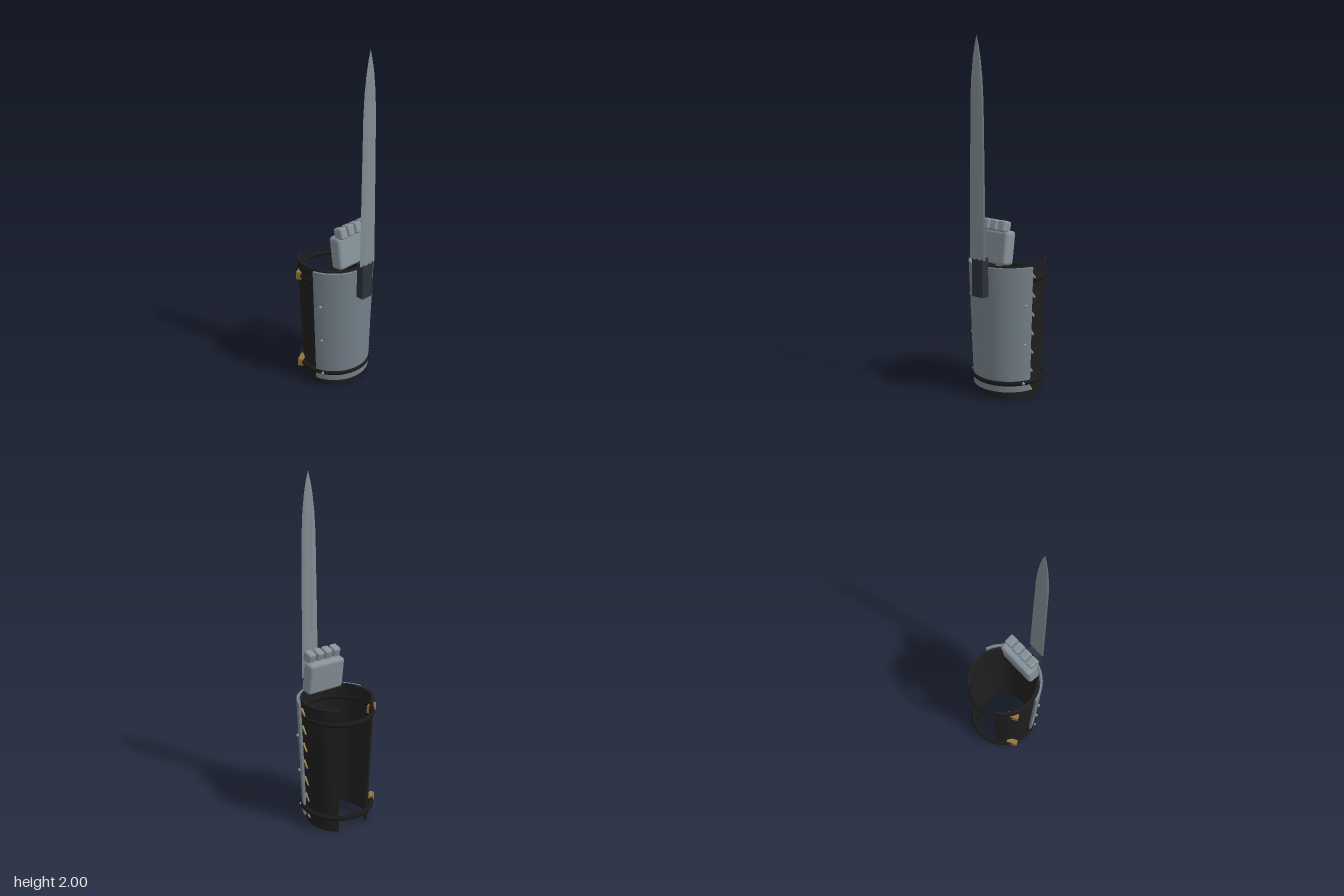
import * as THREE from 'three';
import { toCreasedNormals, mergeGeometries } from 'three/addons/utils/BufferGeometryUtils.js';
import { RoundedBoxGeometry } from 'three/addons/geometries/RoundedBoxGeometry.js';

const mat = (name, color, extra = {}) => {
  const m = new THREE.MeshStandardMaterial({ color, ...extra });
  m.name = name;
  return m;
};

const AXIS_Z = -0.03; // centre line of the forearm tube

// Thick curved wall: outer radius r0 at y0 to r1 at y1, spanning phi0..phi1 from +z
function arcWall(r0, r1, y0, y1, thick, phi0, phi1, segments) {
  const pts = [[r0, y0], [r1, y1], [r1 - thick, y1], [r0 - thick, y0], [r0, y0]]
    .map(([x, y]) => new THREE.Vector2(x, y));
  const wall = new THREE.LatheGeometry(pts, segments, phi0, phi1 - phi0);
  const caps = [phi0, phi1].map((phi) =>
    new THREE.ShapeGeometry(new THREE.Shape(pts.slice(0, 4))).rotateY(phi - Math.PI / 2));
  const parts = [wall, ...caps].map((g) => toCreasedNormals(g, 0.6));
  return mergeGeometries(parts).translate(0, 0, AXIS_Z);
}

// Tapered blade swept from a fullered lens section
function bladeGeometry() {
  const half = [[-1, 0], [-0.82, 0.5], [-0.35, 1], [0, 0.75], [0.35, 1], [0.82, 0.5]];
  const section = [...half, ...half.map(([x, z]) => [-x, -z])];
  const rows = [[0.81, 0.057], [1.2, 0.053], [1.66, 0.047], [1.78, 0.04],
    [1.88, 0.028], [1.95, 0.014], [2, 0.0005]];
  const n = section.length, pos = [], index = [];
  rows.forEach(([y, w], r) => section.forEach(([x, z], i) => {
    pos.push(x * w, y, z * Math.min(0.009, w * 0.25));
    if (r === 0) return;
    const a = (r - 1) * n + i, b = (r - 1) * n + (i + 1) % n;
    index.push(a, b, b + n, a, b + n, a + n);
  }));
  for (let i = 1; i < n - 1; i++) index.push(0, i + 1, i);
  const g = new THREE.BufferGeometry();
  g.setAttribute('position', new THREE.Float32BufferAttribute(pos, 3));
  g.setIndex(index);
  return toCreasedNormals(g, 0.15);
}

export function createModel() {
  const root = new THREE.Group();
  root.name = 'bladedGauntlet';
  const leather = mat('black leather', 0x1e1e1e, { side: THREE.DoubleSide });
  const strapMat = mat('strap black', 0x191919);
  const steel = mat('armour steel', 0x75818a, { side: THREE.DoubleSide });
  const bladeMat = mat('blade steel', 0x828d93);
  const handMat = mat('hand grey', 0x87929a);
  const mountMat = mat('mount slate', 0x2c333c);
  const brass = mat('brass', 0x94743a);
  const lace = mat('tan lace', 0xb0905c);

  const add = (name, geo, material, x = 0, y = 0, z = 0, parent = root) => {
    const m = new THREE.Mesh(geo, material);
    m.name = name;
    m.position.set(x, y, z);
    parent.add(m);
    return m;
  };

  // Leather sleeve, open at the back
  const open = Math.PI - 0.58;
  add('sleeve', arcWall(0.181, 0.208, 0, 0.77, 0.015, -open, open, 56), leather);

  // Three overlapping armour bands
  [[0.205, 0.214, 0.05, 0.31], [0.213, 0.222, 0.305, 0.53], [0.221, 0.23, 0.525, 0.765]]
    .forEach(([r0, r1, y0, y1], i) =>
      add('armourBand' + (i + 1), arcWall(r0, r1, y0, y1, 0.014, -1.31, 1.31, 40), steel));

  // Rivets along both armour edges
  for (const side of [-1, 1]) {
    [0.1, 0.325, 0.55].forEach((y, i) =>
      add('rivet', new THREE.SphereGeometry(0.009, 12, 8), handMat, side * (0.189 + i * 0.008), y, 0.07));
  }

  // Round straps with brass buckles
  for (const y of [0.1, 0.685]) {
    add('strap', new THREE.TorusGeometry(0.2, 0.0155, 12, 56).rotateX(Math.PI / 2), strapMat, 0, y, AXIS_Z);
    const buckle = add('buckle', new THREE.BoxGeometry(0.068, 0.045, 0.03), brass, -0.18, y, -0.118);
    buckle.rotation.y = 0.52;
  }

  // Slanted lacing on the left side
  for (let i = 0; i < 7; i++) {
    const y = 0.06 + i * 0.1085;
    const r = 0.181 + 0.027 * y / 0.77;
    const m = add('lacing', new THREE.CapsuleGeometry(0.008, 0.044, 4, 10), lace,
      Math.sqrt(r * r - 0.0014), y, 0.007);
    m.rotation.x = 0.72;
  }

  // Blade and its mount
  add('bladeMount', new RoundedBoxGeometry(0.082, 0.22, 0.048, 2, 0.004), mountMat, 0, 0.71, 0.215);
  for (const x of [-0.024, 0.024]) {
    for (const y of [0.64, 0.7, 0.77]) {
      add('mountScrew', new THREE.CylinderGeometry(0.006, 0.006, 0.006, 10).rotateX(Math.PI / 2),
        mountMat, x, y, 0.241);
    }
  }
  add('blade', bladeGeometry(), bladeMat, 0, 0, 0.232);

  // Closed hand: palm and four fingers
  const hand = new THREE.Group();
  hand.name = 'hand';
  root.add(hand);
  const palm = add('palm', new RoundedBoxGeometry(0.24, 0.19, 0.08, 4, 0.02), handMat, 0, 0.865, 0.1, hand);
  palm.rotation.x = -0.14;
  for (let i = 0; i < 4; i++) {
    const f = add('finger', new RoundedBoxGeometry(0.05, 0.064, 0.062, 4, 0.012), handMat,
      (i - 1.5) * 0.057, 0.985, 0.112, hand);
    f.rotation.x = -0.3;
  }
  return root;
}
